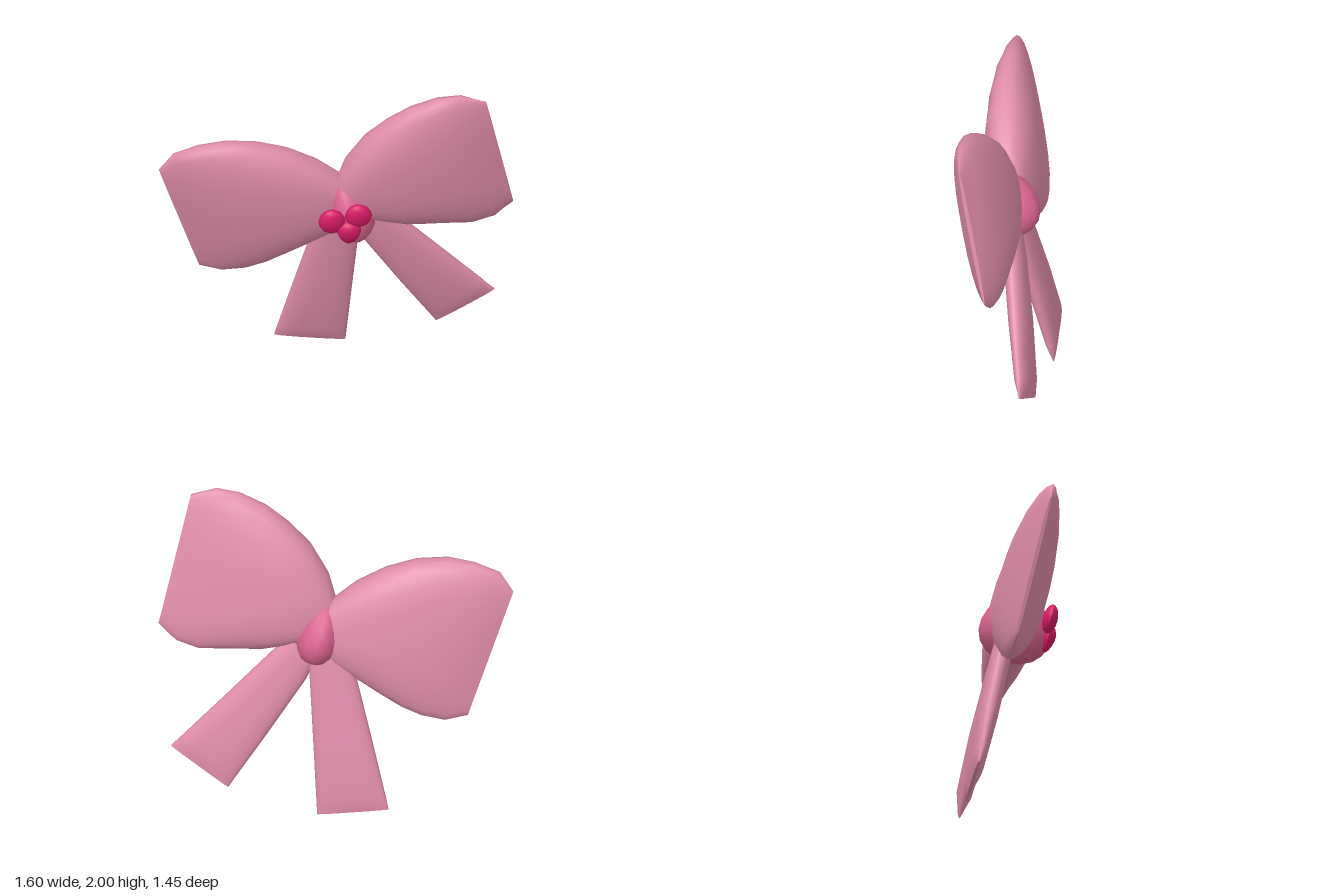
import * as THREE from 'three';

// The bow lies in one tilted plane: z = a - 0.81 x + 0.27 y
const N = new THREE.Vector3(0.81, -0.27, 1).normalize();
const U = new THREE.Vector3(1, 0, -0.81).normalize();
const V = new THREE.Vector3().crossVectors(N, U);
const onPlane = (x, y, a) => new THREE.Vector3(x, y, a - 0.81 * x + 0.27 * y);

// Cushion lofted through sections [x1, y1, x2, y2, halfThickness]
function loft(sections, a, sides = 24) {
  const pos = [], index = [];
  const rings = sections.map(([x1, y1, x2, y2, h]) => {
    const p = onPlane(x1, y1, a), q = onPlane(x2, y2, a);
    const mid = p.clone().add(q).multiplyScalar(0.5);
    const half = p.sub(q).multiplyScalar(0.5);
    return Array.from({ length: sides }, (_, j) => {
      const t = (j / sides) * Math.PI * 2, c = Math.cos(t), s = Math.sin(t);
      return mid.clone()
        .addScaledVector(half, Math.sign(c) * Math.abs(c) ** 0.8)
        .addScaledVector(N, Math.sign(s) * Math.abs(s) ** 0.9 * h);
    });
  });
  const addRing = (ring) => ring.forEach((p) => pos.push(p.x, p.y, p.z));
  rings.forEach(addRing);
  for (let i = 0; i < rings.length - 1; i++) {
    for (let j = 0; j < sides; j++) {
      const k = (j + 1) % sides, r = i * sides, s = r + sides;
      index.push(r + j, r + k, s + j, r + k, s + k, s + j);
    }
  }
  // End caps with their own vertices for a crisp rim
  [rings[0], rings[rings.length - 1]].forEach((ring, end) => {
    const b = pos.length / 3;
    addRing(ring);
    for (let j = 1; j < sides - 1; j++) {
      if (end) index.push(b, b + j, b + j + 1);
      else index.push(b, b + j + 1, b + j);
    }
  });
  const g = new THREE.BufferGeometry();
  g.setAttribute('position', new THREE.Float32BufferAttribute(pos, 3));
  g.setIndex(index);
  g.computeVertexNormals();
  return g;
}

// Ellipsoid aligned with the bow, narrowing towards one end
function blob(center, size, roll, taper, w, h) {
  const g = new THREE.SphereGeometry(1, w, h);
  const p = g.attributes.position;
  for (let i = 0; i < p.count; i++) {
    const k = 1 - taper * p.getY(i);
    p.setXYZ(i, p.getX(i) * size[0] * k, p.getY(i) * size[1], p.getZ(i) * size[2] * k);
  }
  g.rotateZ(roll);
  g.applyMatrix4(new THREE.Matrix4().makeBasis(U, V, N));
  g.translate(...center);
  g.computeVertexNormals();
  return g;
}

export function createModel() {
  const group = new THREE.Group();
  const material = (name, color) => {
    const m = new THREE.MeshStandardMaterial({ color });
    m.name = name;
    return m;
  };
  const ribbon = material('ribbonPink', 0xdf8ca9);
  const band = material('knotPink', 0xd9648f);
  const berry = material('berryPink', 0xd81b66);
  const add = (name, geometry, mat) => {
    const mesh = new THREE.Mesh(geometry, mat);
    mesh.name = name;
    group.add(mesh);
  };

  // Loops: top edge, bottom edge, half thickness
  add('leftLoop', loft([
    [0.01, 1.34, 0.1, 1.08, 0.1], [0.07, 1.5, 0.2, 1.04, 0.135],
    [0.18, 1.68, 0.3, 1.01, 0.155], [0.3, 1.81, 0.41, 1.0, 0.155],
    [0.42, 1.91, 0.5, 0.99, 0.14], [0.55, 1.98, 0.59, 0.98, 0.115],
    [0.66, 2.0, 0.7, 1.02, 0.08], [0.77, 1.95, 0.795, 1.12, 0.012],
  ], -0.285), ribbon);
  add('rightLoop', loft([
    [-0.8, 1.48, -0.71, 0.68, 0.012], [-0.72, 1.6, -0.61, 0.64, 0.07],
    [-0.6, 1.65, -0.5, 0.66, 0.11], [-0.47, 1.67, -0.4, 0.71, 0.135],
    [-0.33, 1.645, -0.3, 0.78, 0.15], [-0.2, 1.58, -0.19, 0.86, 0.15],
    [-0.08, 1.48, -0.06, 0.95, 0.13], [0.02, 1.35, 0.04, 1.05, 0.1],
  ], -0.315), ribbon);

  // Tails: left edge, right edge, half thickness
  add('leftTail', loft([
    [0.17, 1.12, 0.02, 1.0, 0.05], [0.24, 1.0, 0.05, 0.85, 0.06],
    [0.4, 0.72, 0.17, 0.5, 0.06], [0.55, 0.46, 0.27, 0.22, 0.045],
    [0.6, 0.375, 0.3, 0.135, 0.01],
  ], -0.333), ribbon);
  add('rightTail', loft([
    [0.07, 1.1, -0.11, 1.1, 0.05], [0.035, 0.9, -0.19, 0.87, 0.06],
    [-0.045, 0.48, -0.32, 0.48, 0.06], [-0.115, 0.11, -0.425, 0.16, 0.045],
    [-0.135, 0.005, -0.455, 0.065, 0.01],
  ], -0.345), ribbon);

  // Knot and its cluster of three berries
  add('knot', blob([0.055, 1.15, -0.01], [0.135, 0.22, 0.21], 0.25, 0.2, 16, 10), band);
  add('rightBerry', blob([0.078, 1.16, 0.21], [0.08, 0.09, 0.045], 0, 0, 12, 8), berry);
  add('leftBerry', blob([0.205, 1.2, 0.12], [0.08, 0.085, 0.045], 0, 0, 12, 8), berry);
  add('lowerBerry', blob([0.155, 1.075, 0.145], [0.07, 0.085, 0.045], 0, -0.3, 12, 8), berry);
  return group;
}
